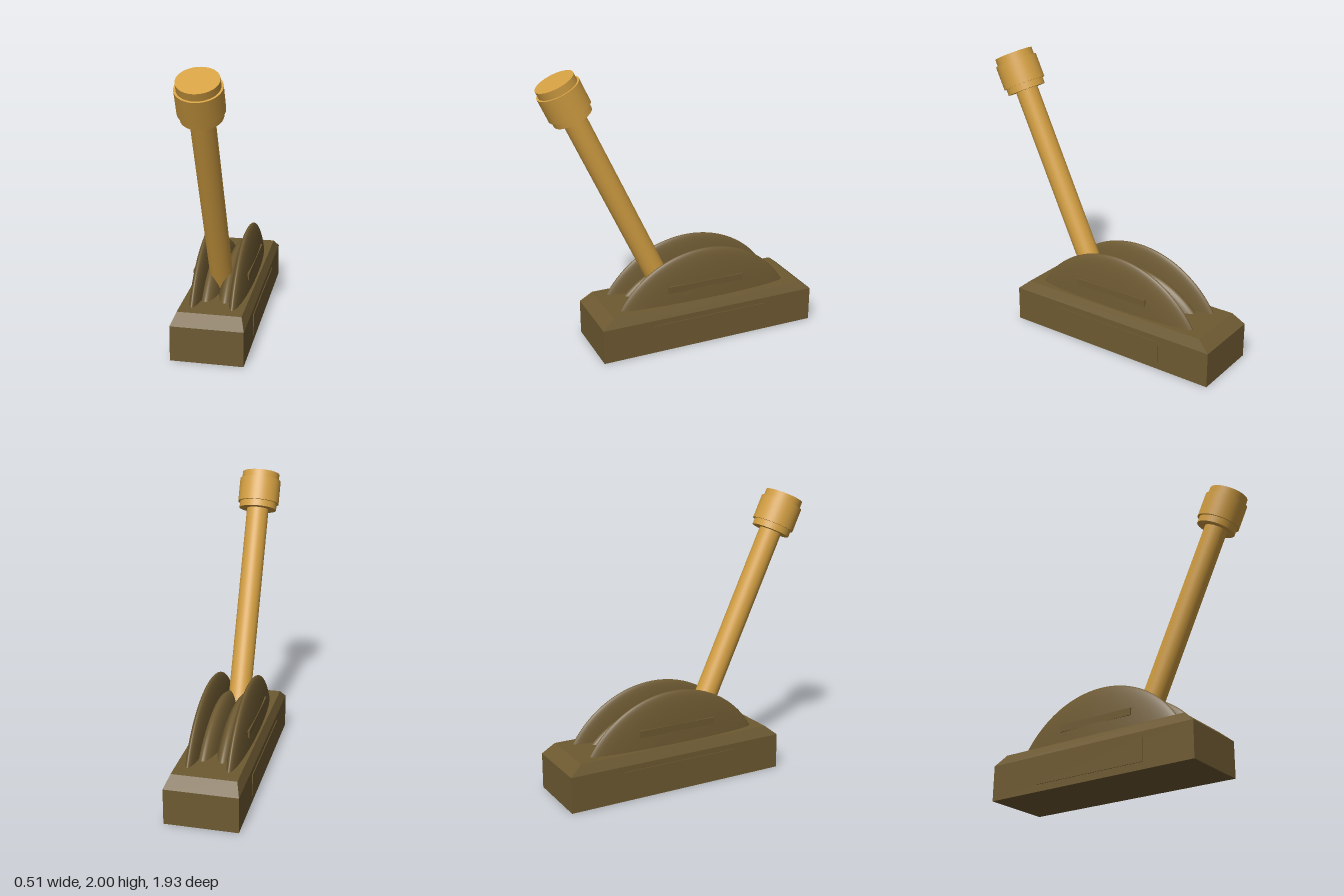
import * as THREE from 'three';

const brass = new THREE.MeshStandardMaterial({ color: 0xd4a043 });
const bronze = new THREE.MeshStandardMaterial({ color: 0x6e5a32 });
const bronzeFlat = new THREE.MeshStandardMaterial({ color: 0x6e5a32, flatShading: true });

function add(parent, name, geometry, material, x = 0, y = 0, z = 0) {
  const mesh = new THREE.Mesh(geometry, material);
  mesh.name = name;
  mesh.position.set(x, y, z);
  parent.add(mesh);
  return mesh;
}

// Block whose top ring is drawn in to form a chamfer
function chamferedBlock(w, h, d, topW, topD, chamfer) {
  const geo = new THREE.BoxGeometry(w, h, d, 1, 2, 1);
  const p = geo.attributes.position;
  for (let i = 0; i < p.count; i++) {
    const y = p.getY(i);
    if (y > h / 4) {
      p.setX(i, Math.sign(p.getX(i)) * topW / 2);
      p.setZ(i, Math.sign(p.getZ(i)) * topD / 2);
    } else if (y > -h / 4) p.setY(i, h / 2 - chamfer);
  }
  return geo;
}

// Cap of a sphere squashed in x, cut off inside the base
function finGeometry(radius, halfWidth, centreY, cutY) {
  const theta = Math.acos((cutY - centreY) / radius);
  const geo = new THREE.SphereGeometry(radius, 64, 40, 0, Math.PI * 2, 0, theta);
  return geo.scale(halfWidth / radius, 1, 1);
}

export function createModel() {
  const model = new THREE.Group();
  model.name = 'leverSwitch';

  // Base
  add(model, 'base', chamferedBlock(0.5, 0.32, 1.62, 0.44, 1.45, 0.07), bronzeFlat, 0, 0.16, -0.155);

  // Paired guides and side plates
  const outer = finGeometry(0.74, 0.078, -0.06, 0.28);
  const inner = finGeometry(0.74, 0.13, -0.2, 0.28);
  for (const [side, s] of [['left', 1], ['right', -1]]) {
    add(model, side + 'OuterFin', outer, bronze, s * 0.138, -0.06, -0.145);
    add(model, side + 'InnerFin', inner, bronze, s * 0.066, -0.2, -0.145);
    add(model, side + 'FinBar', new THREE.BoxGeometry(0.06, 0.05, 0.58), bronzeFlat, s * 0.168, 0.43, -0.14);
    add(model, side + 'SidePlate', new THREE.BoxGeometry(0.02, 0.16, 0.86), bronzeFlat, s * 0.245, 0.13, -0.147);
  }

  // Lever, built downward from the centre of its top and tilted to the front
  const lever = new THREE.Group();
  lever.name = 'lever';
  lever.position.set(0, 1.943, 0.845);
  lever.rotation.x = THREE.MathUtils.degToRad(25);
  model.add(lever);
  const rod = (name, r, from, to) =>
    add(lever, name, new THREE.CylinderGeometry(r, r, to - from, 48), brass, 0, -(from + to) / 2, 0);
  rod('leverShaft', 0.08, 0.2, 1.95);
  rod('knobCore', 0.136, 0, 0.268);
  rod('knobBand', 0.15, 0.052, 0.222);

  return model;
}
